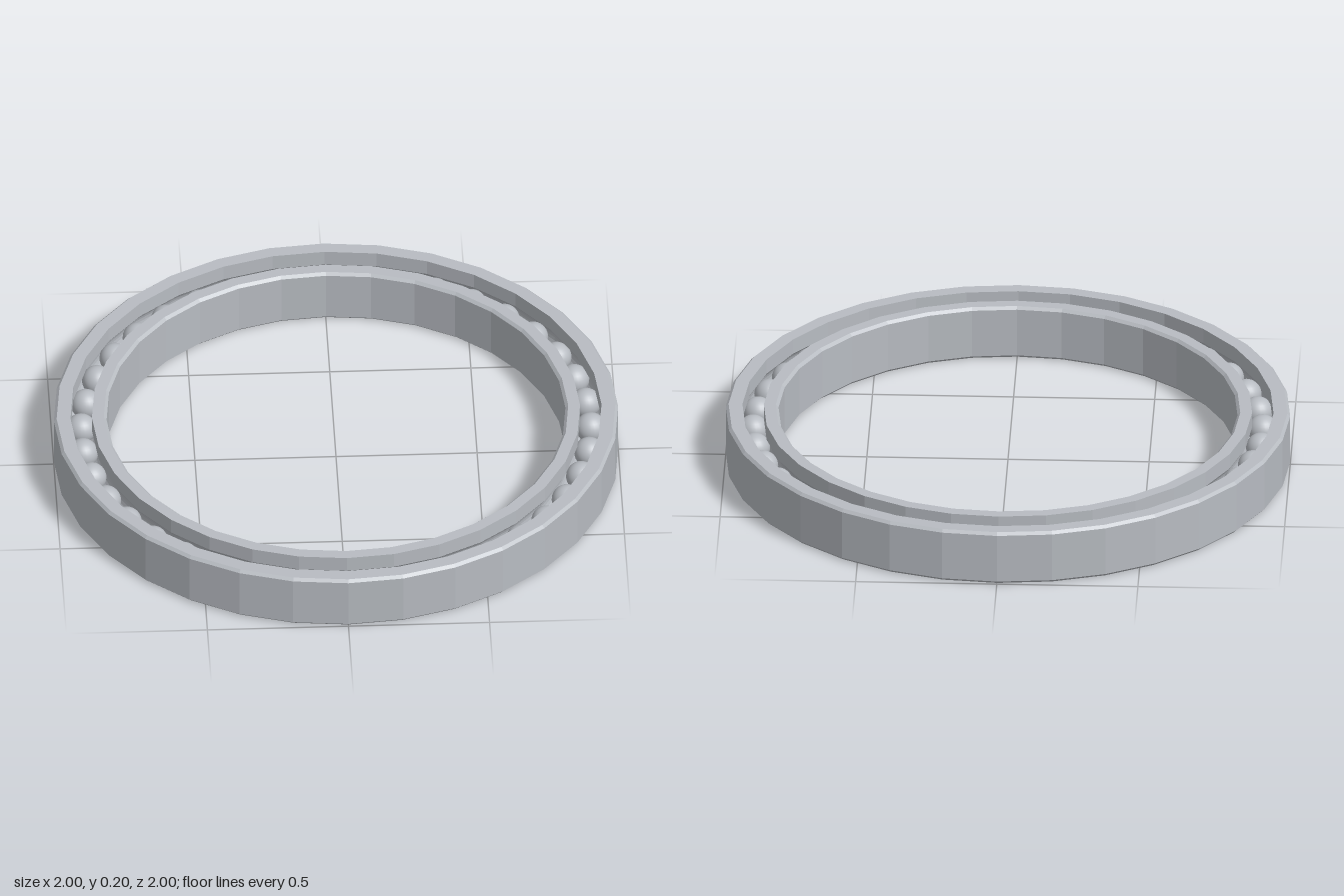
import * as THREE from 'three';

const SIDES = 32, HEIGHT = 0.2, CHAMFER = 0.01;
const PITCH = 0.903, BALLS = 39, BALL_RADIUS = 0.054;
const GAP = 0.038, GROOVE_RADIUS = 0.058;

const v = (r, y) => new THREE.Vector2(r, y);

// Race groove: an arc around the ball centre, from angle a to angle b
function groove(a, b, steps = 8) {
  return Array.from({ length: steps + 1 }, (_, i) => {
    const t = a + (b - a) * i / steps;
    return v(PITCH + Math.cos(t) * GROOVE_RADIUS, HEIGHT / 2 + Math.sin(t) * GROOVE_RADIUS);
  });
}

// Closed profile turned into a faceted ring
function ring(name, profile, material) {
  const geometry = new THREE.LatheGeometry([...profile, profile[0].clone()], SIDES).toNonIndexed();
  geometry.computeVertexNormals();
  const mesh = new THREE.Mesh(geometry, material);
  mesh.name = name;
  return mesh;
}

export function createModel() {
  const group = new THREE.Group();
  group.name = 'ballBearing';
  const steel = new THREE.MeshStandardMaterial({ color: 0xb8bcc2 });
  steel.name = 'steel grey';

  const half = Math.acos(GAP / GROOVE_RADIUS);
  const c = CHAMFER, h = HEIGHT;

  // Outer ring: chamfered rim outside, groove inside
  const gapOuter = PITCH + GAP;
  group.add(ring('outerRing', [
    v(1 - c, 0), v(1, c), v(1, h - c), v(1 - c, h),
    v(gapOuter, h), ...groove(half, -half), v(gapOuter, 0),
  ], steel));

  // Inner ring: groove outside, chamfered bore inside
  const gapInner = PITCH - GAP, bore = 0.813;
  group.add(ring('innerRing', [
    v(gapInner, 0), ...groove(Math.PI + half, Math.PI - half), v(gapInner, h),
    v(bore + c, h), v(bore, h - c), v(bore, c), v(bore + c, 0),
  ], steel));

  // Balls, evenly spaced from +x
  const balls = new THREE.Group();
  balls.name = 'balls';
  const ballGeometry = new THREE.SphereGeometry(BALL_RADIUS, 24, 16);
  for (let i = 0; i < BALLS; i++) {
    const a = i / BALLS * Math.PI * 2;
    const ball = new THREE.Mesh(ballGeometry, steel);
    ball.name = 'ball';
    ball.position.set(Math.cos(a) * PITCH, h / 2, Math.sin(a) * PITCH);
    balls.add(ball);
  }
  group.add(balls);
  return group;
}
